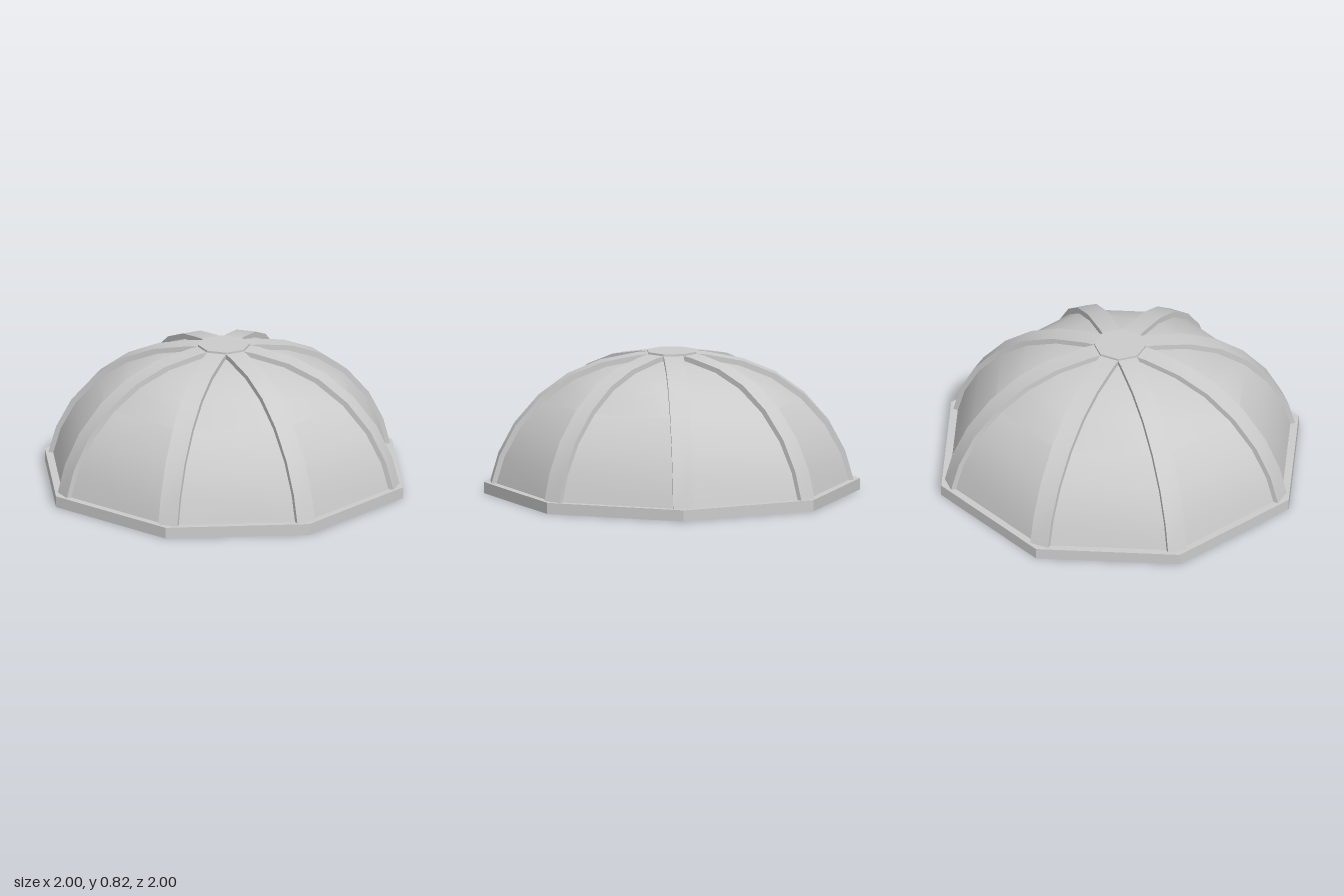
import * as THREE from 'three';
import { toCreasedNormals } from 'three/addons/utils/BufferGeometryUtils.js';

const SIDES = 8;
const STEP = (Math.PI * 2) / SIDES;
const RIB_WIDTH = 0.114;

// Outer rib profile as [radius, height], from base to crown
const PROFILE = [
  [1.043, 0.06], [0.996, 0.225], [0.904, 0.4], [0.764, 0.562],
  [0.596, 0.685], [0.41, 0.762], [0.195, 0.803], [0.1, 0.81],
];

export function createModel() {
  const model = new THREE.Group();
  model.name = 'octagonalDome';
  const material = new THREE.MeshStandardMaterial({ color: 0xcccccc });

  const add = (name, geometry, crease = 0.5) => {
    const mesh = new THREE.Mesh(toCreasedNormals(geometry, crease), material);
    mesh.name = name;
    model.add(mesh);
    return mesh;
  };

  // Base slab: flat side faces the front
  const baseRadius = 1 / Math.cos(STEP / 2);
  const base = add('baseSlab', new THREE.CylinderGeometry(baseRadius, baseRadius, 0.065, SIDES));
  base.position.y = 0.0325;
  base.rotation.y = STEP / 2;

  // Dome shell: eight curved panels set slightly inside the ribs
  const shell = PROFILE.map(([r, y]) => new THREE.Vector2(r - 0.005, y - (0.026 * y) / 0.81));
  shell.push(new THREE.Vector2(0, 0.786));
  add('domeShell', new THREE.LatheGeometry(shell, SIDES, STEP / 2));

  // Ribs: curved bars over the corners between panels
  const outline = PROFILE.map(([r, y]) => new THREE.Vector2(r, y));
  const inner = PROFILE.map(([r, y]) => new THREE.Vector2(r * 0.94, y * 0.94)).reverse();
  const ribGeometry = new THREE.ExtrudeGeometry(new THREE.Shape([...outline, ...inner]), {
    depth: RIB_WIDTH, bevelEnabled: false,
  });
  ribGeometry.translate(0, 0, -RIB_WIDTH / 2);
  for (let i = 0; i < SIDES; i++) {
    add('rib' + (i + 1), ribGeometry).rotation.y = STEP * (i + 0.5);
  }

  // Crown cap: each edge meets the end of one rib
  const cap = add('crownCap', new THREE.CylinderGeometry(0.15, 0.15, 0.04, SIDES));
  cap.position.y = 0.799;

  return model;
}
